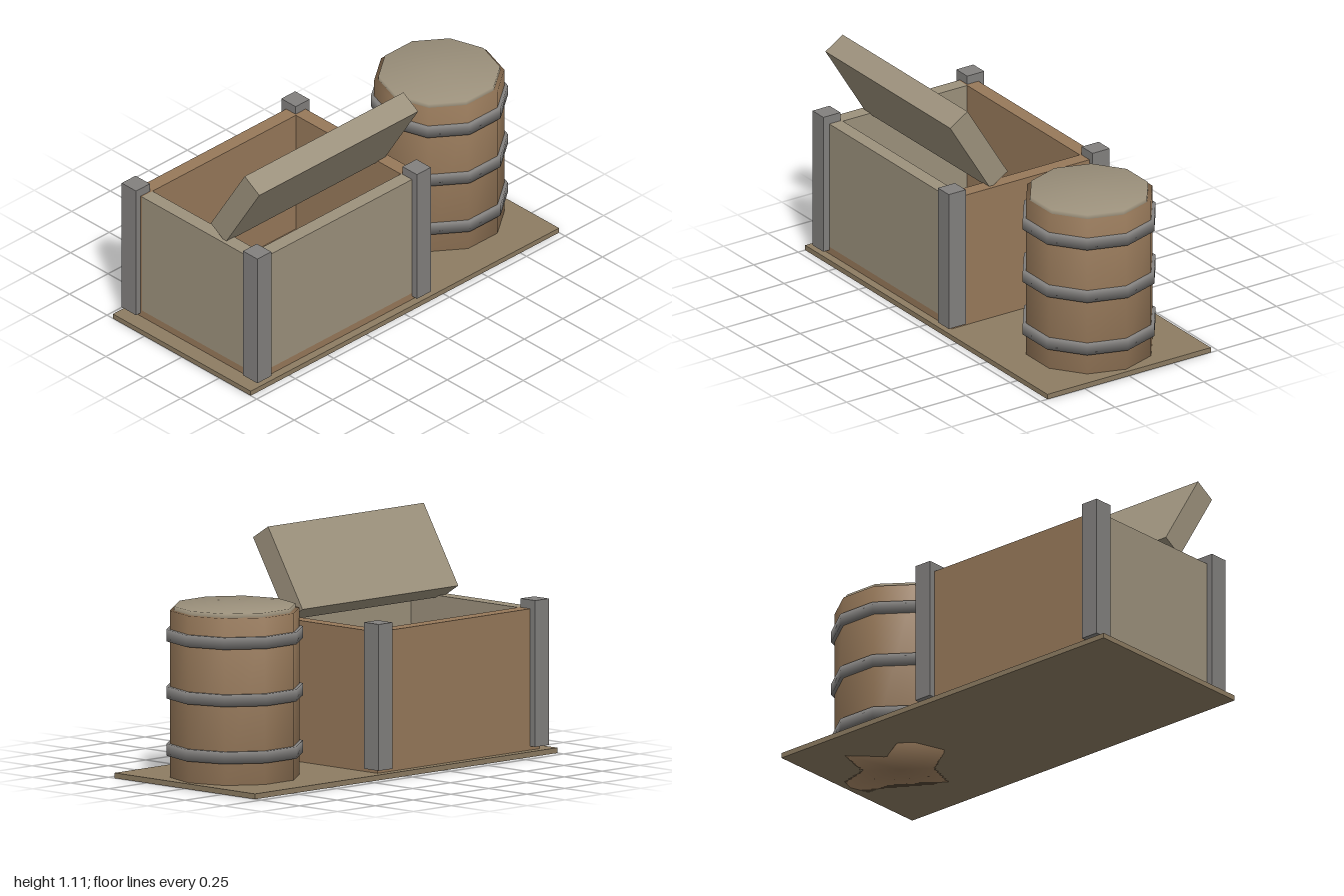
import * as THREE from 'three';
import { mergeVertices } from 'three/addons/utils/BufferGeometryUtils.js';

const material = (color) => new THREE.MeshStandardMaterial({ color });

export function createModel() {
  const model = new THREE.Group();
  const brown = material(0x97795a);
  const pale = material(0x9c917c);
  const metal = material(0x82807e);
  const earth = material(0x8d7c62);

  // Box given by its limits on each axis
  function box(name, mat, [x0, x1], [y0, y1], [z0, z1], parent = model) {
    const mesh = new THREE.Mesh(new THREE.BoxGeometry(x1 - x0, y1 - y0, z1 - z0), mat);
    mesh.position.set((x0 + x1) / 2, (y0 + y1) / 2, (z0 + z1) / 2);
    mesh.name = name;
    parent.add(mesh);
    return mesh;
  }

  // Ten-sided drum whose normals are shared between sides and caps
  function drum(name, mat, radius, y0, y1, parent) {
    let geometry = new THREE.CylinderGeometry(radius, radius, y1 - y0, 10);
    geometry.deleteAttribute('uv');
    geometry.deleteAttribute('normal');
    geometry = mergeVertices(geometry);
    geometry.computeVertexNormals();
    geometry.rotateY(Math.PI / 2);
    const mesh = new THREE.Mesh(geometry, mat);
    mesh.position.y = (y0 + y1) / 2;
    mesh.name = name;
    parent.add(mesh);
  }

  box('base', earth, [-1, 1], [0, 0.025], [-0.46, 0.46]);

  // Open crate: floor and four walls
  const crate = new THREE.Group();
  crate.name = 'crate';
  model.add(crate);
  const wallY = [0.06, 0.69];
  box('crateFloor', brown, [-0.92, 0.15], [0.025, 0.06], [-0.42, 0.42], crate);
  box('frontWall', pale, [-0.92, 0.15], wallY, [0.35, 0.42], crate);
  box('backWall', brown, [-0.92, 0.15], wallY, [-0.42, -0.35], crate);
  box('rightWall', pale, [-0.92, -0.85], wallY, [-0.35, 0.35], crate);
  box('leftWall', brown, [0.08, 0.15], wallY, [-0.35, 0.35], crate);

  // Corner posts
  for (const x of [-0.905, 0.13]) {
    for (const z of [-0.405, 0.405]) {
      box('cornerPost', metal, [x - 0.045, x + 0.045], [0.043, 0.732], [z - 0.048, z + 0.048], crate);
    }
  }

  // Lid leaning open over the front wall
  const lid = box('crateLid', pale, [-0.9, 0.13], [0.677, 1.107], [0.195, 0.31], crate);
  lid.position.set(-0.385, 0.892, 0.2525);
  lid.rotation.x = 0.554;

  // Barrel with three hoops and a lid
  const barrel = new THREE.Group();
  barrel.name = 'barrel';
  barrel.position.x = 0.67;
  model.add(barrel);
  drum('barrelBody', brown, 0.306, 0, 0.81, barrel);
  drum('barrelLid', pale, 0.286, 0.775, 0.83, barrel);
  for (const y of [0.156, 0.425, 0.694]) drum('hoop', metal, 0.322, y - 0.028, y + 0.028, barrel);

  return model;
}
